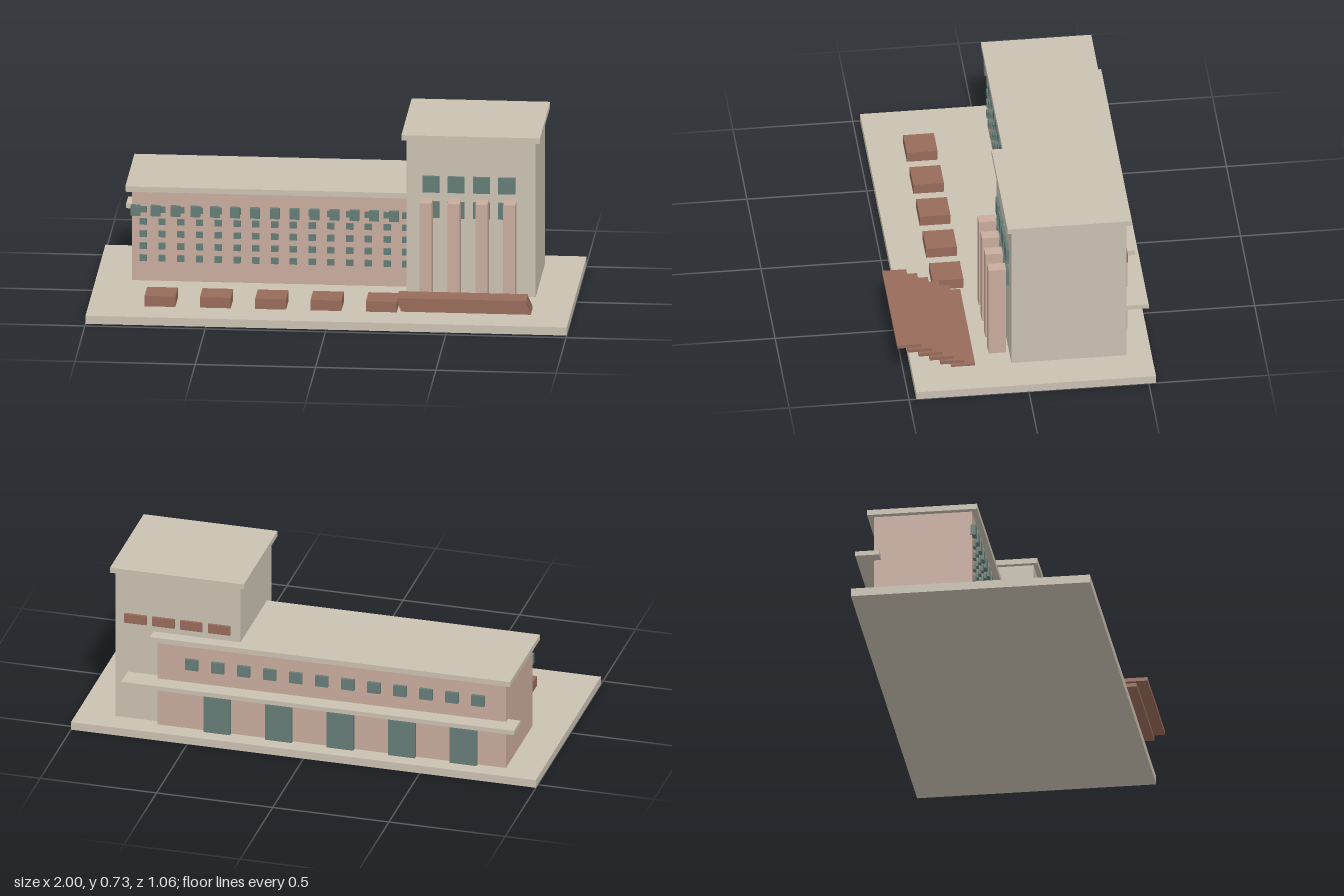
import * as THREE from 'three';

const mat = (color) => new THREE.MeshStandardMaterial({ color });

export function createModel() {
  const model = new THREE.Group();
  const stone = mat(0xc9c0b1), plaster = mat(0xc8ab9d), brick = mat(0x976b5b), glass = mat(0x657c76);

  // box given by its extents on each axis
  const box = (name, material, [x0, x1], [y0, y1], [z0, z1], parent = model) => {
    const mesh = new THREE.Mesh(new THREE.BoxGeometry(x1 - x0, y1 - y0, z1 - z0), material);
    mesh.position.set((x0 + x1) / 2, (y0 + y1) / 2, (z0 + z1) / 2);
    mesh.name = name;
    parent.add(mesh);
    return mesh;
  };

  // evenly spaced row of equal boxes along x
  const row = (name, material, count, firstX, stepX, width, ys, zs) => {
    const group = new THREE.Group();
    group.name = name + 'Row';
    for (let i = 0; i < count; i++) {
      const x = firstX + i * stepX;
      box(name, material, [x - width / 2, x + width / 2], ys, zs, group);
    }
    model.add(group);
  };

  // ground slab
  box('base', stone, [-1, 1], [0, 0.035], [-0.53, 0.47]);

  // long wing with its roof and rear canopy
  box('wing', plaster, [-0.85, 0.65], [0.035, 0.425], [-0.453, -0.045]);
  box('wingRoof', stone, [-0.875, 0.675], [0.425, 0.448], [-0.48, -0.02]);
  box('rearCanopy', stone, [-0.905, 0.785], [0.228, 0.248], [-0.525, -0.425]);

  // tower with its roof
  box('tower', stone, [0.3, 0.837], [0.035, 0.705], [-0.425, 0.054]);
  box('towerRoof', stone, [0.28, 0.856], [0.705, 0.728], [-0.445, 0.072]);

  // wing front: five rows of small windows and one row of large ones
  for (let r = 0; r < 5; r++) {
    const y = 0.135 + r * 0.0525;
    row('smallWindow', glass, 15, -0.802, 0.078, 0.03, [y - 0.013, y + 0.013], [-0.05, -0.034]);
  }
  row('largeWindow', glass, 14, -0.833, 0.0826, 0.04, [0.319, 0.364], [-0.05, -0.028]);

  // wing back: upper windows and tall doors
  row('rearWindow', glass, 12, 0.5, -0.112, 0.055, [0.31, 0.358], [-0.467, -0.45]);
  row('rearDoor', glass, 5, 0.39, -0.265, 0.115, [0.035, 0.2], [-0.47, -0.45]);

  // tower windows, front and back
  for (const y of [0.37, 0.48]) {
    row('towerWindow', glass, 4, 0.402, 0.105, 0.07, [y, y + 0.07], [0.05, 0.066]);
  }
  row('towerRearPanel', brick, 4, 0.39, 0.12, 0.095, [0.478, 0.518], [-0.437, -0.42]);

  // free-standing entrance columns
  row('column', plaster, 4, 0.386, 0.116, 0.05, [0.035, 0.455], [0.067, 0.14]);

  // floating entrance steps, rising outward
  for (let i = 0; i < 6; i++) {
    const y = 0.028 + i * 0.0238, z = 0.205 + i * 0.045;
    box('step', brick, [0.3, 0.837], [y, y + 0.016], [z, z + 0.1]);
  }

  // planters along the front
  row('planter', brick, 5, -0.703, 0.23, 0.128, [0.035, 0.08], [0.189, 0.317]);

  return model;
}
